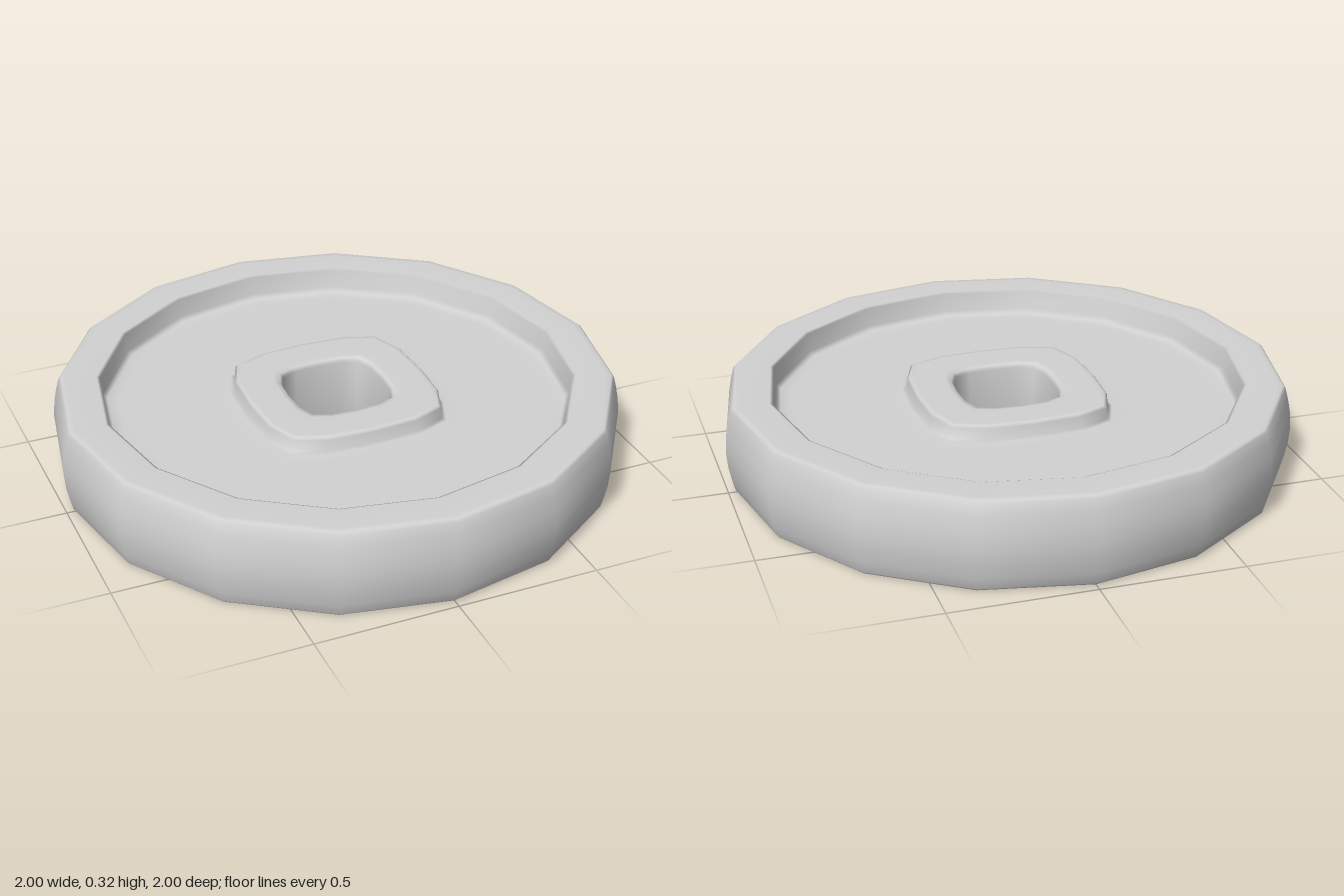
import * as THREE from 'three';

const SIDES = 16;
const MID = 0.158; // half of the thickness

// Unit outlines with 16 points each: a circle and a rounded square
const circle = [], square = [];
const quarter = [[1, 0], [0.97, 0.5], [0.84, 0.84], [0.5, 0.97]];
for (let i = 0; i < SIDES; i++) {
  const a = (i / SIDES) * Math.PI * 2;
  circle.push([Math.cos(a), Math.sin(a)]);
  let [x, y] = quarter[i % 4];
  for (let q = 0; q < Math.floor(i / 4); q++) [x, y] = [-y, x];
  square.push([x, y]);
}

// Smooth skin through rings given as [outline, size, height from the middle]
function skin(name, rings, material) {
  const pos = [], index = [];
  for (const [outline, size, h] of rings)
    for (const [x, y] of outline) pos.push(x * size, MID + h, -y * size);
  for (let i = 0; i < rings.length - 1; i++)
    for (let j = 0; j < SIDES; j++) {
      const k = (j + 1) % SIDES;
      const a = i * SIDES + j, b = i * SIDES + k;
      index.push(a, b, b + SIDES, a, b + SIDES, a + SIDES);
    }
  const geo = new THREE.BufferGeometry();
  geo.setAttribute('position', new THREE.Float32BufferAttribute(pos, 3));
  geo.setIndex(index);
  geo.computeVertexNormals();
  const mesh = new THREE.Mesh(geo, material);
  mesh.name = name;
  return mesh;
}

const flip = (rings) => rings.map(([o, s, h]) => [o, s, -h]).reverse();

export function createModel() {
  const group = new THREE.Group();
  group.name = 'coin';
  const metal = new THREE.MeshStandardMaterial({ color: 0xd2d2d2 });
  metal.name = 'light grey';

  const floor = 0.068; // height of the sunken faces

  // Raised outer rim with a bulging edge
  const rimTop = [
    [circle, 0.995, 0.06], [circle, 0.985, 0.11], [circle, 0.975, 0.149],
    [circle, 0.966, MID], [circle, 0.945, MID], [circle, 0.84, MID],
    [circle, 0.829, 0.153], [circle, 0.823, 0.085], [circle, 0.808, 0.071],
    [circle, 0.77, floor], [circle, 0.7, floor],
  ];
  group.add(skin('rim', [...flip(rimTop), [circle, 1, 0], ...rimTop], metal));

  // Raised square collar around the square hole
  const hubTop = [
    [square, 0.4, floor], [square, 0.345, floor], [square, 0.331, 0.073],
    [square, 0.328, 0.113], [square, 0.32, 0.121], [square, 0.305, 0.122],
    [square, 0.2, 0.122], [square, 0.181, 0.119], [square, 0.173, 0.105],
  ];
  group.add(skin('holeCollar', [...hubTop, [square, 0.169, 0], ...flip(hubTop)], metal));

  // Sunken faces between rim and collar
  const face = [[circle, 0.7, floor], [square, 0.4, floor]];
  group.add(skin('upperFace', face, metal));
  group.add(skin('lowerFace', flip(face), metal));

  return group;
}
